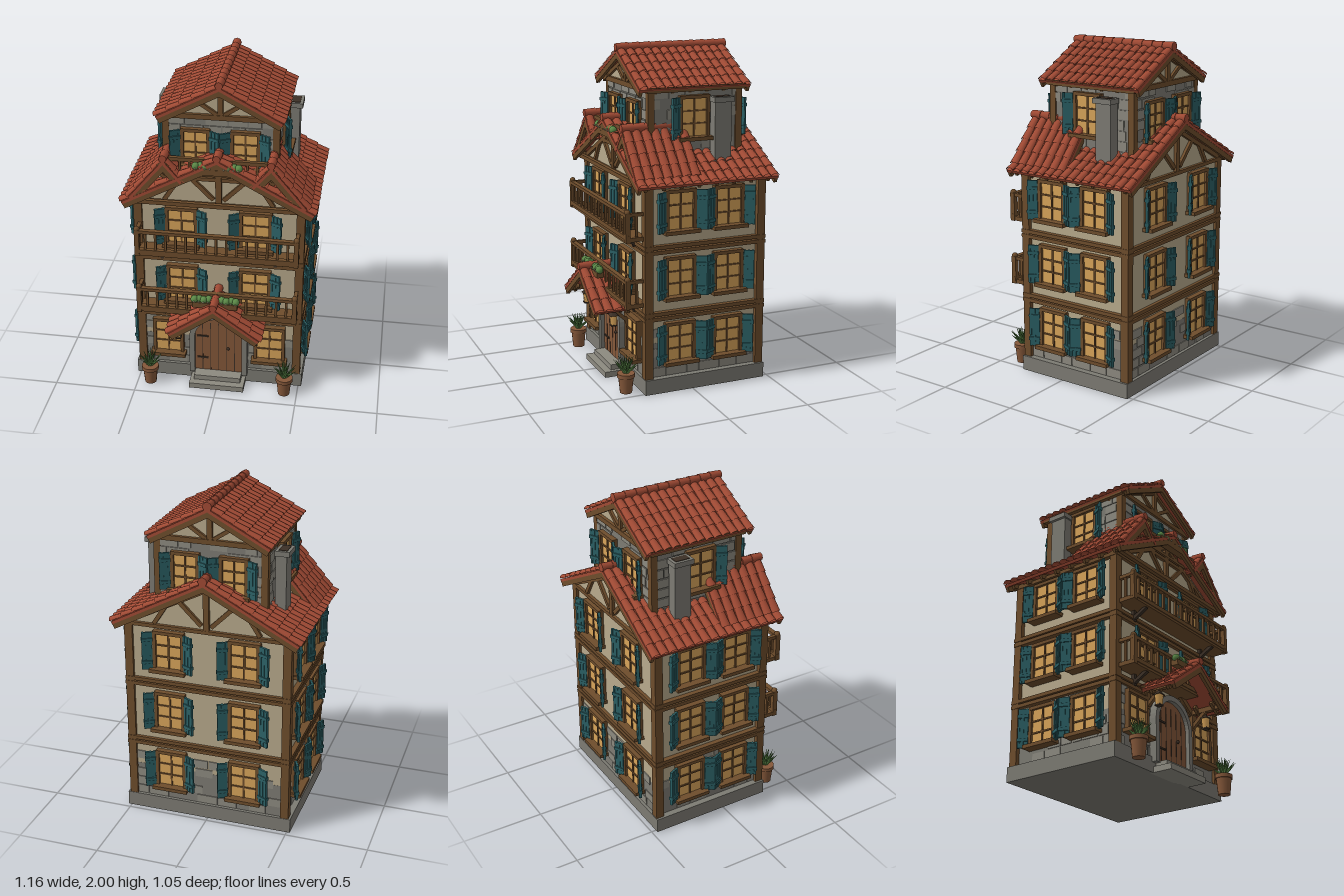
import * as THREE from 'three';
import { mergeGeometries } from 'three/addons/utils/BufferGeometryUtils.js';

const mat = (name, color, side = THREE.FrontSide) => {
  const m = new THREE.MeshStandardMaterial({ color, side });
  m.name = name;
  return m;
};

export function createModel() {
  const root = new THREE.Group();
  root.name = 'timberHouse';
  const tile = mat('roof tile red', 0xa04a34, THREE.DoubleSide);
  const wood = mat('timber brown', 0x6e4d2c);
  const dark = mat('dark wood', 0x3c3026);
  const plaster = mat('plaster', 0xb8aa8c);
  const stone = mat('stone grey', 0x7d7b73);
  const stoneLight = mat('stone light', 0x8d8a80);
  const glow = mat('lit window', 0xd8a45a);
  const teal = mat('shutter teal', 0x2b6065);
  const leaf = mat('leaf green', 0x5c8a48, THREE.DoubleSide);
  const clay = mat('clay pot', 0x85583a);

  let seed = 7;
  const rand = () => (seed = (seed * 16807) % 2147483647) / 2147483647;
  const box = (w, h, d, x = 0, y = 0, z = 0) => new THREE.BoxGeometry(w, h, d).translate(x, y, z);
  const part = (name, material, geos, parent = root) => {
    const m = new THREE.Mesh(mergeGeometries(geos.map(g => (g.index ? g.toNonIndexed() : g))), material);
    m.name = name;
    parent.add(m);
    return m;
  };
  // square timber between two points
  const beam = (a, b, t = 0.025) => {
    const p = new THREE.Vector3(...a), q = new THREE.Vector3(...b), d = q.clone().sub(p);
    const g = new THREE.BoxGeometry(t, d.length(), t);
    g.applyQuaternion(new THREE.Quaternion().setFromUnitVectors(new THREE.Vector3(0, 1, 0), d.normalize()));
    const c = p.add(q).multiplyScalar(0.5);
    return g.translate(c.x, c.y, c.z);
  };
  const extrude = (pts, z0, z1) => new THREE.ExtrudeGeometry(
    new THREE.Shape(pts.map(p => new THREE.Vector2(...p))), { depth: z1 - z0, bevelEnabled: false }).translate(0, 0, z0);

  // gable roof with barrel tiles, ridge caps, bargeboards and rafter tails
  function roof(name, { x = 0, y, slope, runs, z0, z1 }) {
    const tiles = [], timber = [], depth = z1 - z0, zc = (z0 + z1) / 2;
    runs.forEach((run, i) => {
      const len = run / Math.cos(slope), rows = Math.round(len / 0.085), cols = Math.round(depth / 0.055);
      const L = len / rows, p = depth / cols;
      const t = [box(len, 0.018, depth, len / 2, -0.009, 0)], w = [];
      for (let r = 0; r < rows; r++) for (let c = 0; c < cols; c++)
        t.push(new THREE.CylinderGeometry(p * 0.4, p * 0.5, L * 1.08, 6, 1, true, -Math.PI / 2, Math.PI)
          .rotateX(-Math.PI / 2).rotateY(Math.PI / 2).scale(1, 0.75, 1).rotateZ(0.05)
          .translate((r + 0.5) * L + 0.004 * rand(), 0.003, -depth / 2 + (c + 0.5) * p));
      for (const s of [-1, 1]) w.push(box(len, 0.03, 0.02, len / 2, -0.033, s * (depth / 2 - 0.012)));
      for (let k = 1; k < cols; k += 2) w.push(box(0.08, 0.024, 0.018, len - 0.05, -0.03, -depth / 2 + k * p));
      const place = g => {
        g.rotateZ(-slope);
        if (i === 0) g.rotateY(Math.PI);
        return g.translate(x, y, zc);
      };
      tiles.push(...t.map(place));
      timber.push(...w.map(place));
    });
    const n = Math.round(depth / 0.07), q = depth / n;
    for (let k = 0; k < n; k++)
      tiles.push(new THREE.CylinderGeometry(0.023, 0.028, q * 1.1, 8).rotateX(Math.PI / 2).translate(x, y + 0.012, z0 + (k + 0.5) * q));
    const g = new THREE.Group();
    g.name = name;
    part('roofTiles', tile, tiles, g);
    part('roofTimbers', wood, timber, g);
    root.add(g);
  }

  // window facing +z with mullions, sill and optional open shutters
  function addWindow(x, y, z, turn, { w = 0.16, h = 0.215, shutters = [-1, 1] } = {}) {
    const g = new THREE.Group();
    g.name = 'window';
    part('windowGlass', glow, [box(w, h, 0.02, 0, 0, 0.008)], g);
    const f = [box(0.01, h, 0.03, 0, 0, 0.01)];
    for (const s of [-1, 1]) f.push(box(0.02, h + 0.03, 0.045, s * (w / 2 + 0.006), 0, 0.01),
      box(w, 0.009, 0.03, 0, s * h / 6, 0.01));
    f.push(box(w + 0.03, 0.02, 0.05, 0, h / 2 + 0.008, 0.01), box(w + 0.06, 0.022, 0.09, 0, -h / 2 - 0.012, 0.02));
    part('windowFrame', wood, f, g);
    const leafs = [];
    for (const s of shutters) {
      const b = [box(0.062, h + 0.02, 0.01, 0.031, 0, 0)];
      for (let k = -1; k <= 1; k++) b.push(box(0.012, h + 0.02, 0.016, 0.031 + k * 0.024, 0, 0));
      for (const v of [-1, 1]) b.push(box(0.066, 0.02, 0.026, 0.031, v * h * 0.33, 0));
      b.forEach(q => leafs.push((s > 0 ? q.rotateY(-0.45) : q.rotateY(Math.PI + 0.45)).translate(s * (w / 2 + 0.018), 0, 0.03)));
    }
    if (leafs.length) part('shutters', teal, leafs, g);
    g.position.set(x, y, z);
    g.rotation.y = turn;
    root.add(g);
  }

  // main walls and base
  part('base', stone, [box(1.04, 0.09, 0.77, 0, 0.045, -0.085)]);
  part('groundWall', stone, [box(0.962, 0.22, 0.732, 0, 0.19, -0.085)]);
  part('plasterWalls', plaster, [box(0.96, 1.16, 0.73, 0, 0.67, -0.085),
    extrude([[-0.48, 1.24], [0.48, 1.24], [0.48, 1.26], [0, 1.52], [-0.48, 1.26]], -0.45, 0.28)]);
  part('towerWalls', stone, [box(0.66, 0.5, 0.58, 0, 1.51, -0.09)]);
  part('towerGable', plaster, [extrude([[-0.33, 1.755], [0.33, 1.755], [0.33, 1.765], [0, 1.93], [-0.33, 1.765]], -0.38, 0.2)]);

  // scattered facing stones
  const blocks = [];
  function facing(hw, hd, zc, y0, y1, fade) {
    for (let y = y0; y < y1 - 0.03; y += 0.06) for (let side = 0; side < 4; side++) {
      const half = side % 2 ? hd : hw, off = side % 2 ? hw : hd;
      for (let u = -half; u < half - 0.05;) {
        const w = Math.min(0.07 + rand() * 0.07, half - u);
        if (rand() > 0.3 + fade * (y - y0)) blocks.push(box(w - 0.008, 0.052, 0.012, u + w / 2, y + 0.03, off)
          .rotateY(side * Math.PI / 2).translate(0, 0, zc));
        u += w;
      }
    }
  }
  facing(0.48, 0.365, -0.085, 0.09, 0.44, 1.6);
  facing(0.33, 0.29, -0.09, 1.34, 1.74, 0);
  part('facingStones', stoneLight, blocks);

  // timber frame
  const frame = [];
  for (const s of [-1, 1]) {
    for (const z of [0.272, -0.442]) frame.push(box(0.05, 1.17, 0.05, s * 0.482, 0.67, z));
    for (const z of [0.187, -0.367]) frame.push(box(0.04, 0.46, 0.04, s * 0.32, 1.53, z));
  }
  for (const y of [0.452, 0.482, 0.85, 0.88, 1.235]) frame.push(box(1.02, 0.022, 0.77, 0, y, -0.085));
  frame.push(box(0.72, 0.03, 0.62, 0, 1.755, -0.09));
  for (const s of [-1, 1]) {
    for (const z of [0.285, -0.455]) frame.push(
      beam([s * 0.03, 1.27, z], [s * 0.17, 1.41, z]), beam([s * 0.32, 1.25, z], [s * 0.25, 1.36, z]),
      beam([0, 1.49, z], [s * 0.5, 1.235, z]));
    for (const z of [0.205, -0.385]) frame.push(beam([s * 0.02, 1.77, z], [s * 0.14, 1.85, z], 0.022),
      beam([0, 1.91, z], [s * 0.34, 1.75, z], 0.022));
  }
  for (const z of [0.285, -0.455]) frame.push(box(0.035, 0.27, 0.028, 0, 1.37, z));
  frame.push(box(0.4, 0.022, 0.025, 0, 1.4, 0.285), box(1.08, 0.025, 0.025, 0, 1.245, 0.32));
  for (const z of [0.205, -0.385]) frame.push(box(0.03, 0.17, 0.025, 0, 1.84, z));
  part('timberFrame', wood, frame);

  // roofs
  roof('mainRoof', { y: 1.552, slope: Math.atan(0.305 / 0.57), runs: [0.565, 0.565], z0: -0.52, z1: 0.36 });
  roof('towerRoof', { y: 1.958, slope: Math.atan(0.195 / 0.365), runs: [0.365, 0.365], z0: -0.43, z1: 0.27 });
  roof('porchRoof', { y: 0.657, slope: Math.atan(0.2 / 0.28), runs: [0.277, 0.277], z0: 0.29, z1: 0.52 });
  for (const s of [-1, 1]) {
    const runs = s > 0 ? [0.11, 0.21] : [0.21, 0.11];
    roof('dormerRoof', { x: s * 0.31, y: 1.533, slope: Math.atan(0.25 / 0.21), runs, z0: -0.04, z1: 0.36 });
    const dormer = [[0.23, 1.36], [0.45, 1.3], [0.465, 1.32], [0.31, 1.505], [0.23, 1.41]];
    part('dormerGable', plaster, [extrude(s > 0 ? dormer : dormer.map(p => [-p[0], p[1]]), -0.02, 0.29)]);
    part('dormerBraces', wood, [box(0.022, 0.12, 0.02, s * 0.31, 1.44, 0.295),
      beam([s * 0.31, 1.4, 0.3], [s * 0.36, 1.45, 0.3], 0.02), beam([s * 0.31, 1.4, 0.3], [s * 0.26, 1.45, 0.3], 0.02)]);
    // chimney
    part('chimney', stone, [box(0.065, 0.42, 0.105, s * 0.383, 1.47, -0.23), box(0.085, 0.03, 0.125, s * 0.39, 1.692, -0.23)]);
    part('chimneyOpening', dark, [box(0.05, 0.006, 0.09, s * 0.39, 1.707, -0.23)]);
  }

  // windows
  for (const [i, y] of [0.297, 0.692, 1.085].entries()) for (const s of [-1, 1]) {
    addWindow(s * (i ? 0.22 : 0.315), y, 0.28, 0, { shutters: i ? [-1, 1] : [] });
    addWindow(s * 0.23, y, -0.45, Math.PI);
    for (const z of [0.075, -0.23]) addWindow(s * 0.48, y, z, s * Math.PI / 2);
  }
  for (const s of [-1, 1]) {
    addWindow(s * 0.145, 1.565, 0.2, 0, { w: 0.14, h: 0.2 });
    addWindow(s * 0.145, 1.565, -0.38, Math.PI, { w: 0.14, h: 0.2 });
    addWindow(s * 0.33, 1.59, -0.075, s * Math.PI / 2, { h: 0.22, shutters: [-s] });
  }

  // balconies
  for (const y of [0.54, 0.935]) {
    const b = [box(0.96, 0.025, 0.12, 0, y, 0.34), box(0.97, 0.025, 0.028, 0, y + 0.015, 0.39), box(0.97, 0.02, 0.03, 0, y + 0.145, 0.39)];
    for (let x = -0.42; x < 0.43; x += 0.06) b.push(box(0.014, 0.13, 0.014, x, y + 0.08, 0.39));
    for (const s of [-1, 1]) {
      b.push(box(0.028, 0.17, 0.03, s * 0.47, y + 0.07, 0.39), box(0.022, 0.02, 0.1, s * 0.47, y + 0.145, 0.34),
        new THREE.IcosahedronGeometry(0.018, 1).translate(s * 0.47, y + 0.16, 0.39),
        box(0.014, 0.13, 0.014, s * 0.47, y + 0.08, 0.335));
    }
    part('balcony', wood, b);
    part('balconyBrackets', dark, [-1, 1].flatMap(s => [beam([s * 0.34, y - 0.065, 0.29], [s * 0.34, y - 0.01, 0.385], 0.02),
      box(0.02, 0.07, 0.02, s * 0.34, y - 0.045, 0.295)]));
  }
  const terrace = [box(0.62, 0.022, 0.025, 0, 1.52, 0.29), box(0.62, 0.018, 0.02, 0, 1.43, 0.29)];
  for (let x = -0.28; x < 0.3; x += 0.056) terrace.push(box(0.012, 0.1, 0.012, x, 1.475, 0.29));
  part('towerRailing', wood, terrace);

  // flower boxes
  for (const [y, z] of [[0.655, 0.43], [1.49, 0.335]]) {
    part('flowerBox', wood, [box(0.27, 0.035, 0.045, 0, y - 0.015, z)]);
    const bush = [], buds = [];
    for (const s of [-1, 1]) for (let k = 0; k < 4; k++) {
      const x = s * (0.04 + k * 0.028);
      bush.push(new THREE.IcosahedronGeometry(0.024, 1).translate(x, y + 0.015, z + 0.008 * (k % 2) - 0.004));
      buds.push(new THREE.IcosahedronGeometry(0.006, 0).translate(x, y + 0.01, z + 0.026));
    }
    part('flowerBushes', leaf, bush);
    part('flowerBuds', plaster, buds);
  }

  // door, stone arch and steps
  const arch = (r, spring, y0) => new THREE.Shape().moveTo(-r, y0).lineTo(r, y0).lineTo(r, spring)
    .absarc(0, spring, r, 0, Math.PI, false).lineTo(-r, y0);
  const ring = arch(0.18, 0.315, 0.06);
  ring.holes.push(arch(0.147, 0.315, 0.061));
  part('doorArch', stone, [new THREE.ExtrudeGeometry(ring, { depth: 0.05, bevelEnabled: false, curveSegments: 10 }).translate(0, 0, 0.28)]);
  part('door', clay, [new THREE.ExtrudeGeometry(arch(0.147, 0.315, 0.06), { depth: 0.025, bevelEnabled: false }).translate(0, 0, 0.28)]);
  const iron = [box(0.07, 0.01, 0.008, -0.1, 0.16, 0.308), box(0.07, 0.01, 0.008, -0.1, 0.32, 0.308),
    new THREE.IcosahedronGeometry(0.01, 1).translate(0.06, 0.24, 0.31)];
  for (let k = -2; k <= 2; k++) iron.push(box(0.004, 0.35, 0.004, k * 0.05, 0.245, 0.305));
  part('doorIronwork', dark, iron);
  part('doorSteps', stoneLight, [box(0.34, 0.035, 0.14, 0, 0.0175, 0.35), box(0.29, 0.035, 0.09, 0, 0.05, 0.33)]);
  part('porchBeam', wood, [box(0.025, 0.03, 0.22, 0, 0.615, 0.4)]);

  for (const s of [-1, 1]) {
    // porch brackets
    part('porchBracket', wood, [box(0.028, 0.028, 0.2, s * 0.225, 0.465, 0.4), box(0.028, 0.13, 0.028, s * 0.225, 0.42, 0.3),
      beam([s * 0.225, 0.37, 0.3], [s * 0.225, 0.46, 0.4], 0.022), beam([s * 0.22, 0.475, 0.49], [s * 0.14, 0.53, 0.49], 0.02)]);
    // lantern
    part('lanternGlass', glow, [new THREE.CylinderGeometry(0.026, 0.02, 0.06, 4).rotateY(Math.PI / 4).translate(s * 0.235, 0.388, 0.39)]);
    part('lanternFrame', dark, [new THREE.ConeGeometry(0.036, 0.03, 4).rotateY(Math.PI / 4).translate(s * 0.235, 0.432, 0.39),
      box(0.036, 0.008, 0.036, s * 0.235, 0.355, 0.39), box(0.006, 0.04, 0.006, s * 0.235, 0.45, 0.39)]);
    // potted plant
    part('flowerPot', clay, [new THREE.CylinderGeometry(0.046, 0.036, 0.1, 14).translate(s * 0.42, 0.05, 0.385),
      new THREE.CylinderGeometry(0.053, 0.053, 0.024, 14).translate(s * 0.42, 0.108, 0.385)]);
    const leaves = [];
    for (let k = 0; k < 20; k++) leaves.push(new THREE.ConeGeometry(0.011, 0.11, 4).translate(0, 0.055, 0)
      .rotateX(0.2 + 0.75 * ((k * 7) % 20) / 20).rotateY(k * 2.4).translate(s * 0.42, 0.118, 0.385));
    part('pottedPlant', leaf, leaves);
  }
  return root;
}
